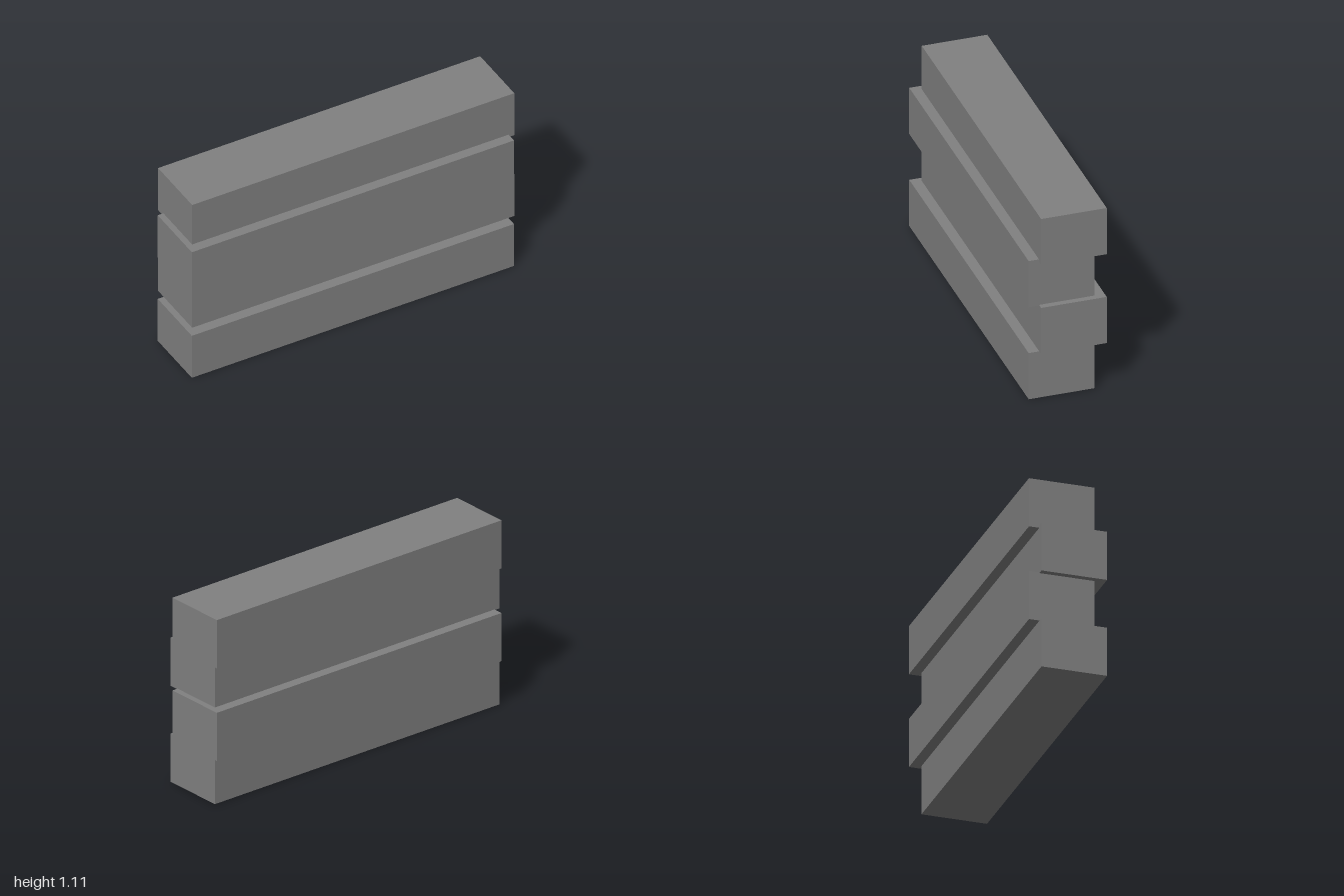
import * as THREE from 'three';

export function createModel() {
  const model = new THREE.Group();
  model.name = 'stackedBeams';

  const grey = new THREE.MeshStandardMaterial({ color: 0x808080 });
  grey.name = 'stone grey';

  // Four equal beams, shifted alternately forward-right and back-left
  const height = 0.282;
  const beam = new THREE.BoxGeometry(1.965, height, 0.368);
  const names = ['bottomBeam', 'lowerMiddleBeam', 'upperMiddleBeam', 'topBeam'];
  const bases = [0, 0.284, 0.562, 0.827]; // the upper beams sink slightly into those below

  bases.forEach((base, i) => {
    const side = i % 2 ? 1 : -1;
    const mesh = new THREE.Mesh(beam, grey);
    mesh.name = names[i];
    mesh.position.set(side * 0.0175, base + height / 2, -side * 0.029);
    model.add(mesh);
  });

  return model;
}
